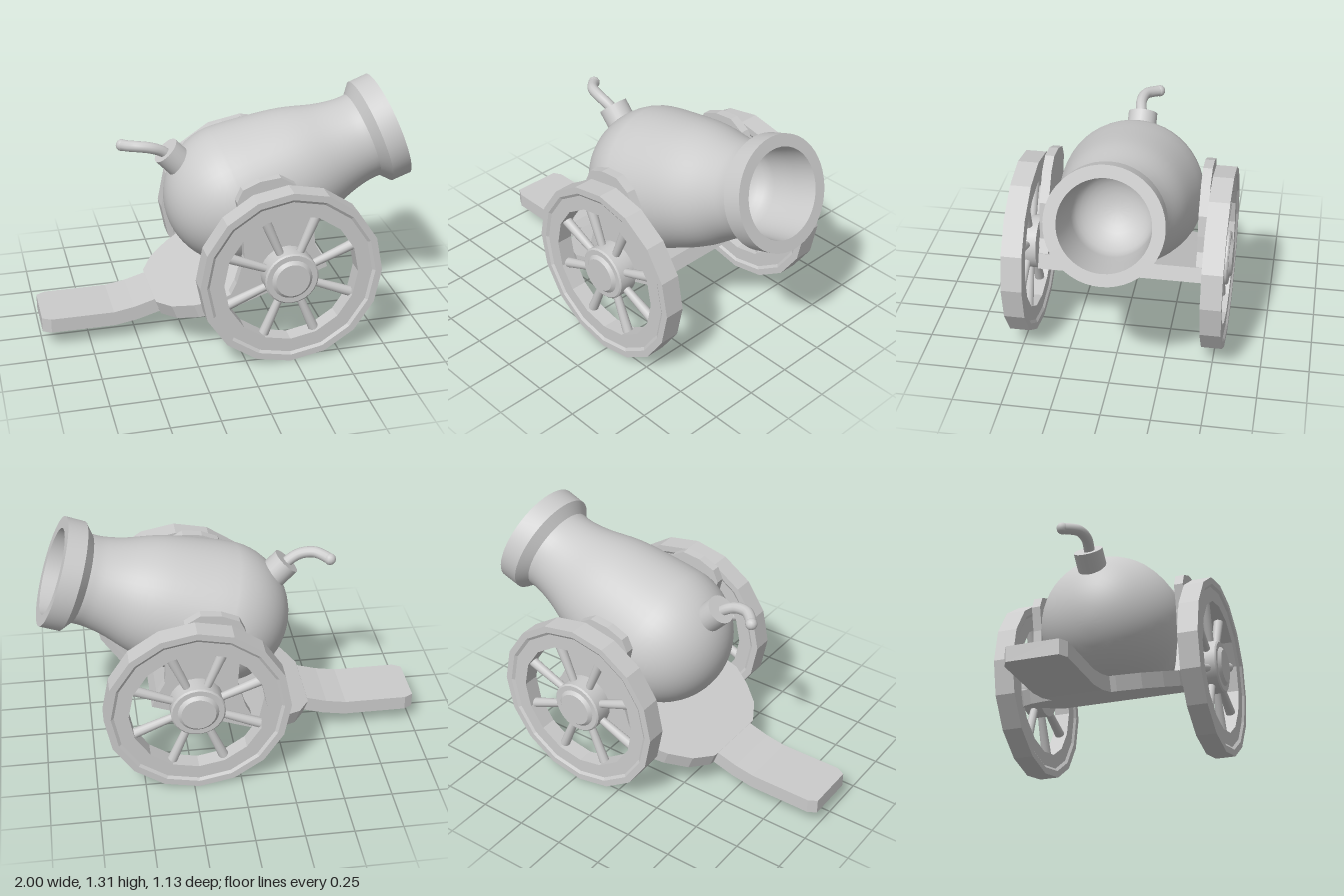
import * as THREE from 'three';
import { toCreasedNormals } from 'three/addons/utils/BufferGeometryUtils.js';

const TILT = 0.358; // elevation of barrel and carriage bed
const MID = -0.012; // z of the barrel and carriage centre line
const smooth = new THREE.MeshStandardMaterial({ color: 0xcccccc });
const flat = new THREE.MeshStandardMaterial({ color: 0xcccccc, flatShading: true });
const V = (x, y, z) => new THREE.Vector3(x, y, z);
const pts = (list) => list.map(([x, y]) => new THREE.Vector2(x, y));

function add(parent, name, geometry, material = smooth) {
  const mesh = new THREE.Mesh(geometry, material);
  mesh.name = name;
  parent.add(mesh);
  return mesh;
}

const lathe = (profile, sides, crease = 0.6) =>
  toCreasedNormals(new THREE.LatheGeometry(profile, sides), crease);

// Barrel: round breech, flowing neck, flared muzzle ring and hollow bore.
function makeBarrel() {
  const profile = [];
  for (let i = 0; i <= 14; i++) {
    const a = (i / 14) * Math.PI / 2;
    profile.push(new THREE.Vector2(0.375 * Math.sin(a), -0.896 - 0.375 * Math.cos(a)));
  }
  const neck = new THREE.SplineCurve(pts([
    [0.375, -0.896], [0.361, -0.773], [0.318, -0.523], [0.258, -0.332], [0.235, -0.22], [0.233, -0.15],
  ]));
  profile.push(...neck.getPoints(24).slice(1));
  profile.push(...pts([[0.286, -0.103], [0.287, 0], [0.225, 0], [0.215, -0.12], [0.205, -0.26]]));
  for (let i = 1; i <= 8; i++) {
    const a = (i / 8) * Math.PI / 2;
    profile.push(new THREE.Vector2(i === 8 ? 0 : 0.205 * Math.cos(a), -0.26 - 0.15 * Math.sin(a)));
  }
  return lathe(profile, 48);
}

// Bed and trail: one plank swept through rectangular sections.
function makeBed() {
  const sections = [ // x, underside y, half width, tilt
    [-1, 0.1, 0.13, 0], [-0.955, 0.1, 0.155, 0], [-0.62, 0.1, 0.155, 0.05],
    [-0.5, 0.12, 0.155, 0.2], [-0.38, 0.155, 0.155, TILT], [-0.379, 0.156, 0.185, TILT],
    [-0.315, 0.18, 0.295, TILT], [-0.215, 0.217, 0.375, TILT], [-0.11, 0.257, 0.428, TILT],
    [0.45, 0.46, 0.428, TILT],
  ];
  const rings = sections.map(([x, y, w, a]) => {
    const tx = x - 0.078 * Math.sin(a), ty = y + 0.078 * Math.cos(a);
    return [[x, y, -w], [x, y, w], [tx, ty, w], [tx, ty, -w]];
  });
  const out = [];
  const quad = (a, b, c, d) => out.push(...a, ...b, ...c, ...a, ...c, ...d);
  for (let i = 0; i < rings.length - 1; i++) {
    for (let k = 0; k < 4; k++) {
      const n = (k + 1) % 4;
      quad(rings[i][k], rings[i + 1][k], rings[i + 1][n], rings[i][n]);
    }
  }
  quad(...rings[0]);
  quad(...rings[rings.length - 1].slice().reverse());
  const geo = new THREE.BufferGeometry();
  geo.setAttribute('position', new THREE.Float32BufferAttribute(out, 3));
  geo.computeVertexNormals();
  return geo;
}

// Wheel facing +z: stepped 16-sided rim, eight tapered spokes, bevelled hub.
function makeWheel(name) {
  const wheel = new THREE.Group();
  wheel.name = name;
  add(wheel, 'rim', new THREE.LatheGeometry(pts([
    [0.35, -0.043], [0.425, -0.043], [0.44, -0.053], [0.475, -0.053], [0.475, 0.053],
    [0.44, 0.053], [0.425, 0.043], [0.35, 0.043], [0.35, -0.043],
  ]), 16), flat).rotation.x = Math.PI / 2;
  add(wheel, 'hub', lathe(pts([
    [0, -0.05], [0.14, -0.05], [0.14, 0.044], [0.132, 0.051], [0.105, 0.051], [0.088, 0.067], [0, 0.067],
  ]), 24)).rotation.x = Math.PI / 2;
  add(wheel, 'axleStub', new THREE.CylinderGeometry(0.05, 0.05, 0.06, 16).translate(0, -0.07, 0))
    .rotation.x = Math.PI / 2;
  const spoke = new THREE.CylinderGeometry(0.027, 0.02, 0.25, 12).translate(0, 0.245, 0);
  for (let i = 0; i < 8; i++) {
    add(wheel, 'spoke', spoke).rotation.z = (i + 0.5) * Math.PI / 4;
  }
  return wheel;
}

export function createModel() {
  const model = new THREE.Group();
  model.name = 'cannon';

  const barrel = add(model, 'barrel', makeBarrel());
  barrel.position.set(0.9, 1.043, MID);
  barrel.rotation.z = TILT - Math.PI / 2;

  // Fuse socket on the breech, with a curled fuse
  const socket = add(model, 'fuseSocket', new THREE.CylinderGeometry(0.077, 0.077, 0.11, 24));
  socket.position.set(-0.265, 0.965, MID);
  socket.rotation.z = 0.76;
  const path = new THREE.CatmullRomCurve3([
    V(-0.26, 0.95, -0.012), V(-0.32, 1.005, 0), V(-0.38, 1.033, 0.008),
    V(-0.45, 1.043, -0.005), V(-0.49, 1.038, -0.035), V(-0.52, 1.032, -0.07),
  ]);
  add(model, 'fuse', new THREE.TubeGeometry(path, 24, 0.029, 12));
  add(model, 'fuseTip', new THREE.SphereGeometry(0.031, 12, 8)).position.set(-0.52, 1.032, -0.07);

  // Carriage: bed with trail, and two shaped cheeks
  const carriage = new THREE.Group();
  carriage.name = 'carriage';
  carriage.position.z = MID;
  add(carriage, 'bedAndTrail', makeBed(), flat);
  const cheek = new THREE.ExtrudeGeometry(new THREE.Shape(pts([
    [-0.11, 0.257], [0.45, 0.46], [0.415, 0.535], [0.38, 0.6], [0.375, 0.69], [0.36, 0.8],
    [0.275, 0.936], [0.195, 0.984], [0.09, 0.973], [0, 0.935], [-0.03, 0.87], [0, 0.74],
    [0.01, 0.56], [-0.03, 0.42],
  ])), { depth: 0.048, bevelEnabled: false });
  add(carriage, 'leftCheek', cheek, flat).position.z = 0.38;
  add(carriage, 'rightCheek', cheek, flat).position.z = -0.428;
  model.add(carriage);

  for (const side of [1, -1]) {
    const wheel = makeWheel(side > 0 ? 'frontWheel' : 'backWheel');
    wheel.position.set(0.225, 0.48, side * 0.498);
    if (side < 0) wheel.rotation.y = Math.PI;
    model.add(wheel);
  }
  return model;
}
